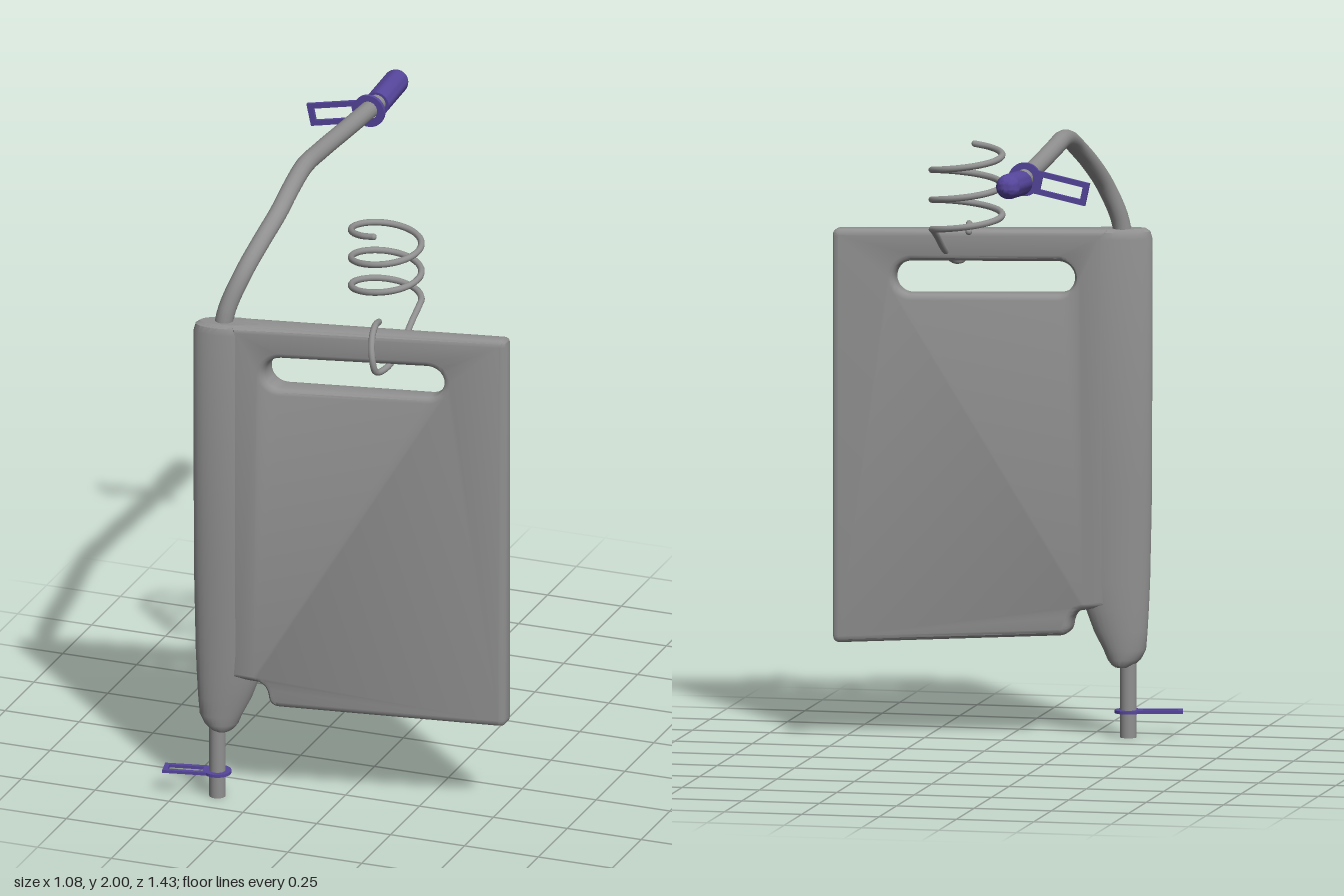
import * as THREE from 'three';
import { toCreasedNormals } from 'three/addons/utils/BufferGeometryUtils.js';

const V = (x, y, z) => new THREE.Vector3(x, y, z);
// the board is set at an angle: depth of its middle plane at a given x
const midZ = (x) => 0.645 - 0.213 * (x + 0.37);

function bend(geo, rule) {
  const p = geo.attributes.position, v = V(0, 0, 0);
  for (let i = 0; i < p.count; i++) {
    rule(v.fromBufferAttribute(p, i));
    p.setXYZ(i, v.x, v.y, v.z);
  }
  return toCreasedNormals(geo, 0.6);
}

function rectPath(path, x0, y0, x1, y1) {
  path.moveTo(x0, y0);
  path.lineTo(x1, y0);
  path.lineTo(x1, y1);
  path.lineTo(x0, y1);
  path.closePath();
  return path;
}

export function createModel() {
  const group = new THREE.Group();
  const grey = new THREE.MeshStandardMaterial({ color: 0x909090 });
  grey.name = 'grey';
  const purple = new THREE.MeshStandardMaterial({ color: 0x56469c });
  purple.name = 'purple';
  const add = (name, geo, mat, parent = group) => {
    const m = new THREE.Mesh(geo, mat);
    m.name = name;
    parent.add(m);
    return m;
  };

  // flat panel with a handle slot, thinning towards its free edge
  const shape = new THREE.Shape();
  shape.moveTo(-0.32, 0.42);
  shape.lineTo(-0.25, 0.41);
  shape.quadraticCurveTo(-0.21, 0.41, -0.205, 0.36);
  shape.quadraticCurveTo(-0.2, 0.33, -0.17, 0.328);
  shape.lineTo(0.51, 0.304);
  shape.quadraticCurveTo(0.532, 0.304, 0.532, 0.33);
  shape.lineTo(0.532, 1.6);
  shape.quadraticCurveTo(0.532, 1.622, 0.51, 1.622);
  shape.lineTo(-0.32, 1.622);
  shape.closePath();
  const slot = new THREE.Path();
  slot.absarc(-0.165, 1.468, 0.052, Math.PI / 2, Math.PI * 1.5, false);
  slot.absarc(0.288, 1.468, 0.052, -Math.PI / 2, Math.PI / 2, false);
  slot.closePath();
  shape.holes.push(slot);
  const panel = new THREE.ExtrudeGeometry(shape, {
    depth: 0.5, bevelThickness: 0.25, bevelSize: 0.02, bevelOffset: -0.02,
    bevelSegments: 3, curveSegments: 8,
  });
  add('panel', bend(panel, (v) => {
    v.z = midZ(v.x) + (v.z - 0.25) * (0.1 - 0.05 * (v.x + 0.3));
  }), grey);

  // rounded spine along the panel's edge: [height, left, right, half thickness]
  const rows = [
    [1.622, -0.43, -0.24, 0.035], [1.612, -0.444, -0.225, 0.046], [1.59, -0.45, -0.22, 0.051],
    [0.8, -0.449, -0.22, 0.051], [0.5, -0.443, -0.22, 0.051], [0.41, -0.439, -0.245, 0.05],
    [0.34, -0.435, -0.27, 0.047], [0.28, -0.43, -0.3, 0.043], [0.25, -0.415, -0.312, 0.04],
    [0.232, -0.395, -0.325, 0.035], [0.225, -0.385, -0.335, 0.028],
  ];
  const spine = new THREE.CylinderGeometry(1, 1, 1, 28, rows.length - 1);
  add('spine', bend(spine, (v) => {
    const [y, l, r, t] = rows[Math.round((0.5 - v.y) * (rows.length - 1))];
    v.x = (l + r) / 2 + v.x * (r - l) / 2;
    v.y = y;
    v.z = midZ(v.x) + v.z * t;
  }), grey);

  // lower post
  const post = add('lowerPost', new THREE.CylinderGeometry(0.026, 0.026, 0.32, 20), grey);
  post.position.set(-0.375, 0.16, 0.65);

  // bent arm reaching back from the top of the spine
  const arm = new THREE.CatmullRomCurve3([
    V(-0.365, 1.57, 0.642), V(-0.35, 1.66, 0.63), V(-0.313, 1.77, 0.583), V(-0.285, 1.85, 0.5),
    V(-0.267, 1.91, 0.4), V(-0.268, 1.946, 0.3), V(-0.277, 1.971, 0.15), V(-0.282, 1.963, 0),
    V(-0.286, 1.944, -0.25), V(-0.288, 1.925, -0.54),
  ]);
  add('arm', new THREE.TubeGeometry(arm, 60, 0.029, 16), grey);

  // round-ended grip
  const profile = [new THREE.Vector2(0, 0), new THREE.Vector2(0.04, 0)];
  for (let i = 0; i <= 8; i++) {
    const a = (i / 8) * Math.PI / 2;
    profile.push(new THREE.Vector2(0.04 * Math.cos(a), 0.162 + 0.04 * Math.sin(a)));
  }
  const grip = add('grip', toCreasedNormals(new THREE.LatheGeometry(profile, 24), 0.6), purple);
  grip.position.set(-0.288, 1.924, -0.51);
  grip.rotation.x = -Math.PI / 2 + 0.07;

  // clips: a ring around the tube with an open frame to one side
  function clip(name) {
    const g = new THREE.Group();
    g.name = name;
    const ring = new THREE.Shape();
    ring.absarc(0, 0, 0.053, 0, Math.PI * 2, false);
    ring.holes.push(new THREE.Path().absarc(0, 0, 0.028, 0, Math.PI * 2, true));
    const frame = rectPath(new THREE.Shape(), -0.207, -0.037, -0.035, 0.037);
    frame.holes.push(rectPath(new THREE.Path(), -0.188, -0.02, -0.055, 0.02));
    [ring, frame].forEach((s, i) => {
      const geo = new THREE.ExtrudeGeometry(s, { depth: 0.012, bevelEnabled: false, curveSegments: 16 });
      geo.translate(0, 0, -0.006).rotateZ(0.21);
      add(['clipRing', 'clipFrame'][i], geo, purple, g);
    });
    group.add(g);
    return g;
  }
  clip('upperClip').position.set(-0.288, 1.927, -0.442);
  const lower = clip('lowerClip');
  lower.position.set(-0.375, 0.083, 0.65);
  lower.rotation.x = -Math.PI / 2;
  lower.scale.set(0.83, 0.83, 0.8);

  // coiled wire whose tail hooks through the slot and over the panel's top
  const wire = [];
  const steps = 44;
  for (let i = 0; i <= steps; i++) {
    const turn = (i / steps) * 2.75, a = turn * Math.PI * 2;
    wire.push(V(0.078 - 0.111 * Math.sin(a), 1.903 - 0.095 * turn, 0.347 + 0.111 * Math.cos(a)));
  }
  wire.push(
    V(0.188, 1.615, 0.4), V(0.183, 1.565, 0.475), V(0.168, 1.515, 0.56), V(0.15, 1.515, 0.62),
    V(0.142, 1.56, 0.632), V(0.128, 1.615, 0.6), V(0.115, 1.636, 0.54), V(0.1, 1.62, 0.468),
  );
  const wireCurve = new THREE.CatmullRomCurve3(wire);
  add('coiledWire', new THREE.TubeGeometry(wireCurve, 260, 0.0105, 10), grey);
  // wire end caps
  [wire[0], wire[wire.length - 1]].forEach((p) => {
    add('wireEnd', new THREE.SphereGeometry(0.0105, 10, 8), grey).position.copy(p);
  });

  return group;
}
